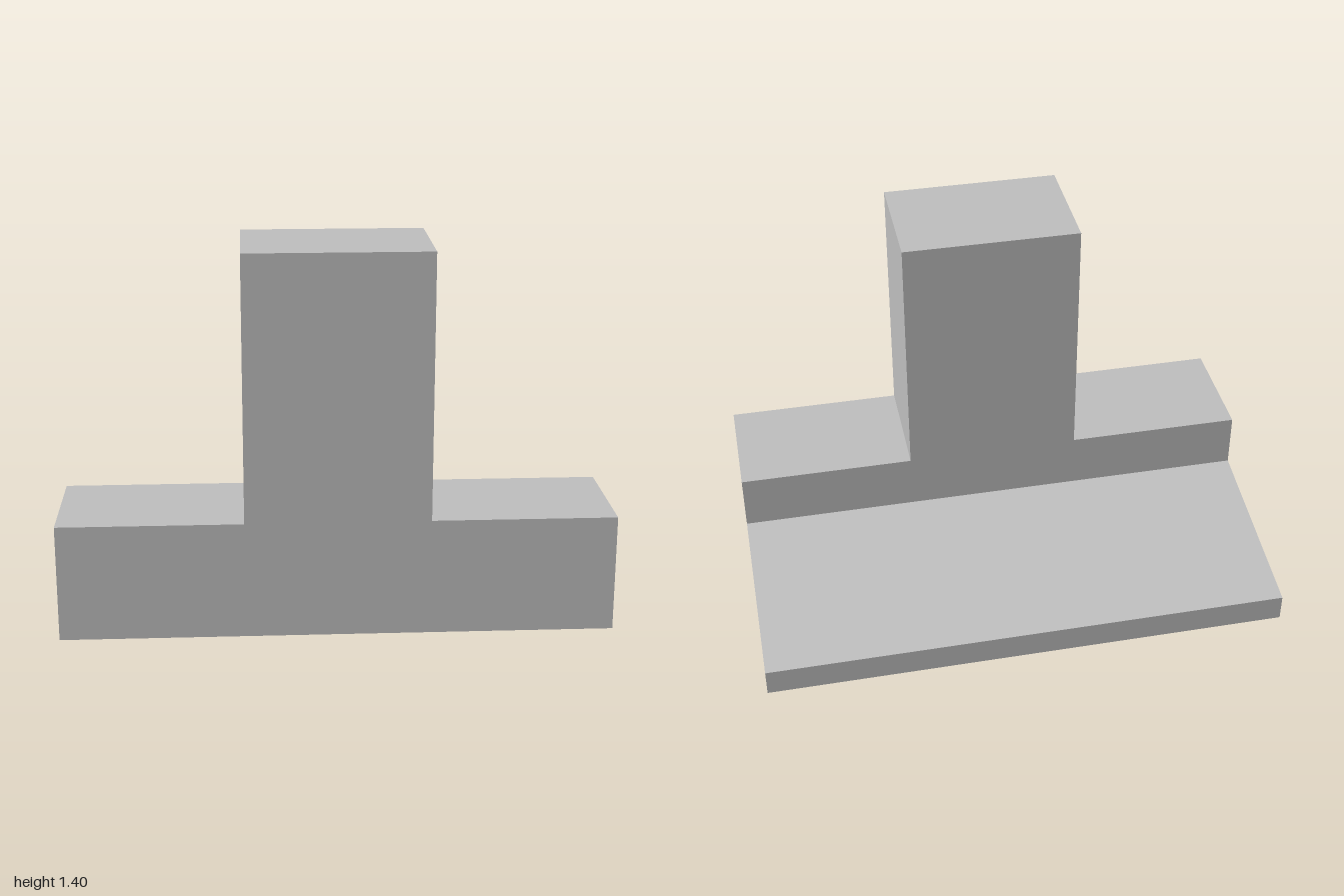
import * as THREE from 'three';

const HALF_X = 1, BACK = -0.58, FRONT = 0.58, STEP_Z = 0.14;
const RECESS = 0.015, RIM = 0.06;

const polygon = (points) => new THREE.Shape(points.map(([x, y]) => new THREE.Vector2(x, y)));
const extrude = (shape, depth) => new THREE.ExtrudeGeometry(shape, { depth, bevelEnabled: false });

export function createModel() {
  const group = new THREE.Group();
  const grey = new THREE.MeshStandardMaterial({ color: 0xc0c0c0 });
  grey.name = 'light grey';

  const add = (name, geometry) => {
    const mesh = new THREE.Mesh(geometry, grey);
    mesh.name = name;
    group.add(mesh);
  };

  // Upright T-shaped wall along the front: low shoulders and a central tower
  const wall = extrude(polygon([
    [-HALF_X, RECESS], [HALF_X, RECESS], [HALF_X, 0.43], [0.333, 0.43],
    [0.333, 1.4], [-0.333, 1.4], [-0.333, 0.43], [-HALF_X, 0.43],
  ]), FRONT - STEP_Z);
  wall.translate(0, 0, STEP_Z);
  add('towerWall', wall);

  // Sloping foot behind the wall: side profile drawn as (-z, y), swept along x
  const foot = extrude(polygon([
    [-STEP_Z, RECESS], [-BACK, RECESS], [-BACK, 0.105], [-STEP_Z, 0.215],
  ]), HALF_X * 2);
  foot.rotateY(Math.PI / 2).translate(-HALF_X, 0, 0);
  add('slopingFoot', foot);

  // Thin rim under the base, leaving a shallow recess
  const rectangle = (inset) => {
    const x = HALF_X - inset, z = FRONT - inset;
    return [[-x, -z], [x, -z], [x, z], [-x, z]];
  };
  const rimShape = polygon(rectangle(0));
  rimShape.holes.push(polygon(rectangle(RIM)));
  const rim = extrude(rimShape, RECESS);
  rim.rotateX(-Math.PI / 2);
  add('baseRim', rim);

  return group;
}
